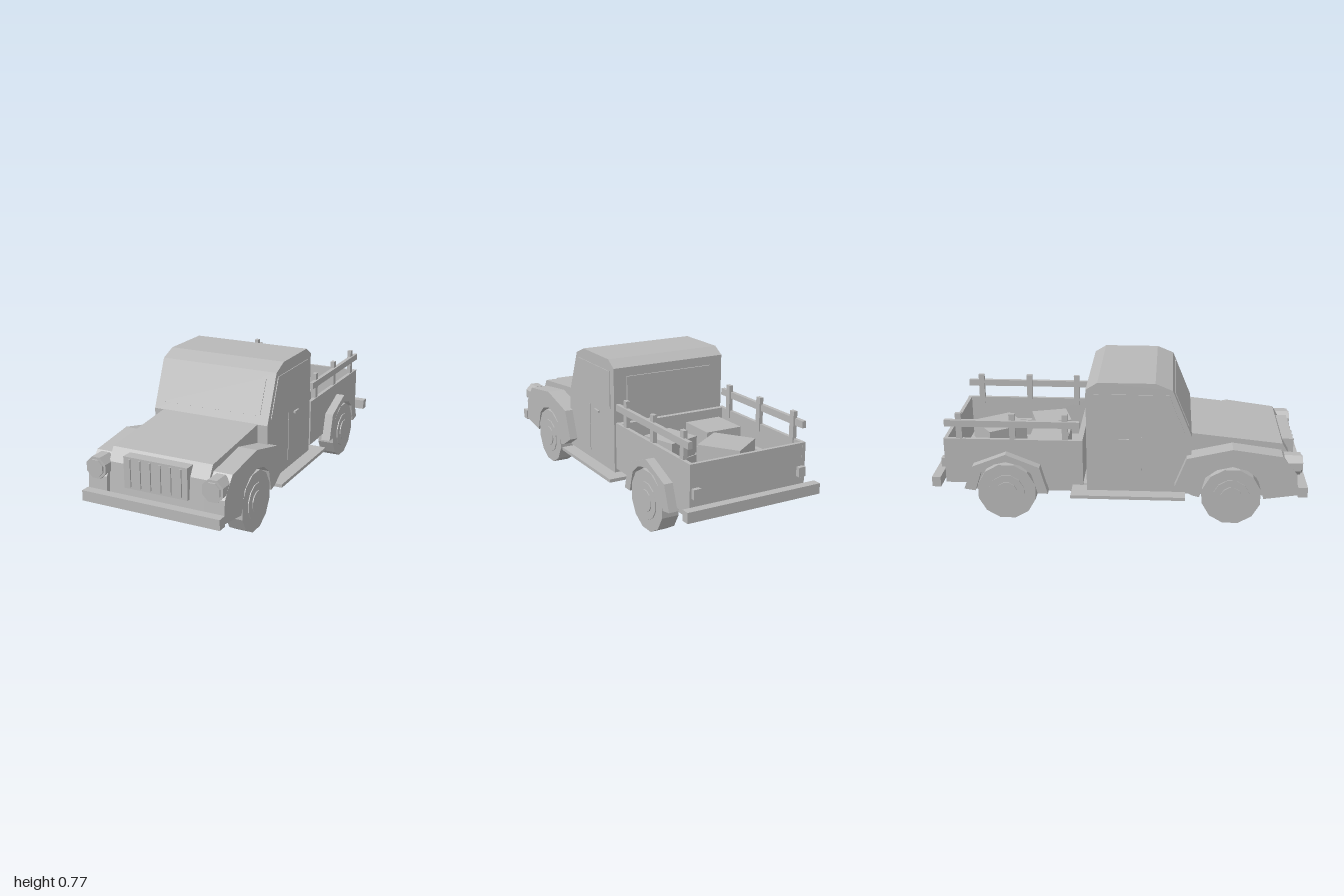
import * as THREE from 'three';

export function createModel() {
  const truck = new THREE.Group();
  truck.name = 'pickupTruck';
  const grey = new THREE.MeshStandardMaterial({ color: 0xb8b8b8, flatShading: true });
  grey.name = 'plain grey';

  function add(name, geometry, parent = truck) {
    const mesh = new THREE.Mesh(geometry, grey);
    mesh.name = name;
    parent.add(mesh);
    return mesh;
  }
  // Box given by its limits on each axis
  function box(name, x0, x1, y0, y1, z0, z1, parent) {
    const g = new THREE.BoxGeometry(Math.abs(x1 - x0), y1 - y0, z1 - z0);
    g.translate((x0 + x1) / 2, (y0 + y1) / 2, (z0 + z1) / 2);
    return add(name, g, parent);
  }
  // Side outline of [z, y] points, extruded across from x0 to x1
  function profile(name, points, x0, x1) {
    const shape = new THREE.Shape(points.map(([z, y]) => new THREE.Vector2(z, y)));
    const g = new THREE.ExtrudeGeometry(shape, { depth: x1 - x0, bevelEnabled: false });
    g.rotateY(-Math.PI / 2);
    g.translate(x1, 0, 0);
    return add(name, g);
  }
  // The same outline on one side of the truck: from near to far, measured off the centre
  function sideProfile(name, points, near, far, s) {
    return profile(name, points, Math.min(s * near, s * far), Math.max(s * near, s * far));
  }

  // Chassis and bumpers
  box('chassis', -0.268, 0.268, 0.115, 0.16, -0.83, 0.84);
  box('frontBumper', -0.385, 0.385, 0.165, 0.22, 0.95, 1);
  box('rearBumper', -0.385, 0.385, 0.18, 0.235, -1, -0.953);

  // Cab and bonnet
  profile('cab', [[0.385, 0.155], [0.385, 0.475], [0.28, 0.73], [0.19, 0.767],
    [-0.11, 0.767], [-0.172, 0.728], [-0.172, 0.155]], -0.335, 0.335);
  profile('bonnet', [[0.38, 0.155], [0.38, 0.477], [0.865, 0.427], [0.905, 0.36],
    [0.925, 0.17], [0.77, 0.155]], -0.28, 0.28);
  box('rearWindow', -0.26, 0.26, 0.55, 0.68, -0.181, -0.172);
  const windshield = add('windshield', new THREE.BoxGeometry(0.57, 0.2, 0.006));
  windshield.position.set(0, 0.608, 0.331);
  windshield.rotation.x = -Math.atan2(0.105, 0.255);

  // Grille with upright slats
  box('grille', -0.178, 0.178, 0.248, 0.413, 0.87, 0.933);
  for (let i = 0; i < 6; i++) {
    const x = -0.1425 + i * 0.057;
    box('grilleSlat', x - 0.005, x + 0.005, 0.26, 0.402, 0.93, 0.941);
  }

  // Fender outlines
  const frontFender = [[0.95, 0.175], [0.94, 0.29], [0.905, 0.34], [0.86, 0.392], [0.6, 0.427],
    [0.36, 0.37], [0.3, 0.213], [0.39, 0.16], [0.43, 0.15], [0.46, 0.265], [0.52, 0.31],
    [0.6, 0.33], [0.68, 0.31], [0.735, 0.265], [0.77, 0.148]];
  const rearFender = [[-0.378, 0.15], [-0.42, 0.3], [-0.6, 0.372], [-0.78, 0.3], [-0.828, 0.17],
    [-0.768, 0.16], [-0.735, 0.265], [-0.68, 0.31], [-0.6, 0.33], [-0.52, 0.31],
    [-0.465, 0.265], [-0.432, 0.15]];

  for (const s of [-1, 1]) {
    sideProfile('frontFender', frontFender, 0.275, 0.381, s);
    sideProfile('rearFender', rearFender, 0.33, 0.383, s);
    box('runningBoard', s * 0.26, s * 0.407, 0.138, 0.156, -0.255, 0.355);

    // Doors
    sideProfile('sideWindow', [[0.345, 0.5], [0.262, 0.705], [-0.13, 0.705], [-0.13, 0.5]], 0.33, 0.339, s);
    box('doorSeam', s * 0.332, s * 0.338, 0.2, 0.47, 0.117, 0.123);
    box('doorHandle', s * 0.33, s * 0.346, 0.447, 0.458, 0, 0.055);

    // Eight-sided headlights
    const lamp = new THREE.Group();
    lamp.name = 'headlight';
    lamp.position.set(s * 0.325, 0.335, 0);
    truck.add(lamp);
    for (const [name, r, z0, z1] of [['headlightRim', 0.06, 0.87, 0.957], ['headlightLens', 0.047, 0.95, 0.967]]) {
      const g = new THREE.CylinderGeometry(r, r, z1 - z0, 8);
      g.rotateY(Math.PI / 8).rotateX(Math.PI / 2).translate(0, 0, (z0 + z1) / 2);
      add(name, g, lamp);
    }
    box('tailLight', s * 0.285, s * 0.325, 0.27, 0.32, -0.957, -0.93);

    // Bed side with its stake rail
    box('bedSide', s * 0.315, s * 0.335, 0.185, 0.44, -0.935, -0.192);
    for (const z of [-0.285, -0.565, -0.85]) {
      box('stake', s * 0.308, s * 0.33, 0.4, 0.582, z - 0.016, z + 0.016);
    }
    box('stakeRail', s * 0.318, s * 0.34, 0.51, 0.546, -0.925, -0.205);

    // Twelve-sided wheels resting on a flat side
    for (const z of [-0.6, 0.6]) {
      const wheel = new THREE.Group();
      wheel.name = 'wheel';
      wheel.position.set(0, 0.155, z);
      truck.add(wheel);
      for (const [name, r, x0, x1] of [['tyre', 0.16, 0.285, 0.378],
        ['rim', 0.098, 0.3, 0.383], ['hubCap', 0.058, 0.3, 0.388]]) {
        const g = new THREE.CylinderGeometry(r, r, x1 - x0, 12);
        g.rotateY(Math.PI / 12).rotateZ(Math.PI / 2).translate(s * (x0 + x1) / 2, 0, 0);
        add(name, g, wheel);
      }
    }
  }

  // Bed floor and ends
  box('bedFloor', -0.32, 0.32, 0.185, 0.215, -0.93, -0.2);
  box('bedFront', -0.325, 0.325, 0.186, 0.439, -0.222, -0.193);
  box('tailgate', -0.325, 0.325, 0.186, 0.439, -0.934, -0.915);

  // Crates: x, z, width, depth, top, turn
  for (const [x, z, w, d, top, turn] of [[-0.15, -0.385, 0.21, 0.21, 0.41, 0],
    [0.133, -0.415, 0.185, 0.2, 0.4, 0.28], [-0.035, -0.685, 0.22, 0.225, 0.42, 0.61]]) {
    const crate = new THREE.Group();
    crate.name = 'crate';
    crate.position.set(x, 0, z);
    crate.rotation.y = turn;
    truck.add(crate);
    const mid = (0.21 + top) / 2;
    box('crateBody', -w / 2 + 0.006, w / 2 - 0.006, 0.21, top - 0.01, -d / 2 + 0.006, d / 2 - 0.006, crate);
    box('crateLower', -w / 2, w / 2, 0.21, mid - 0.006, -d / 2, d / 2, crate);
    box('crateUpper', -w / 2, w / 2, mid + 0.006, top, -d / 2, d / 2, crate);
  }

  return truck;
}
